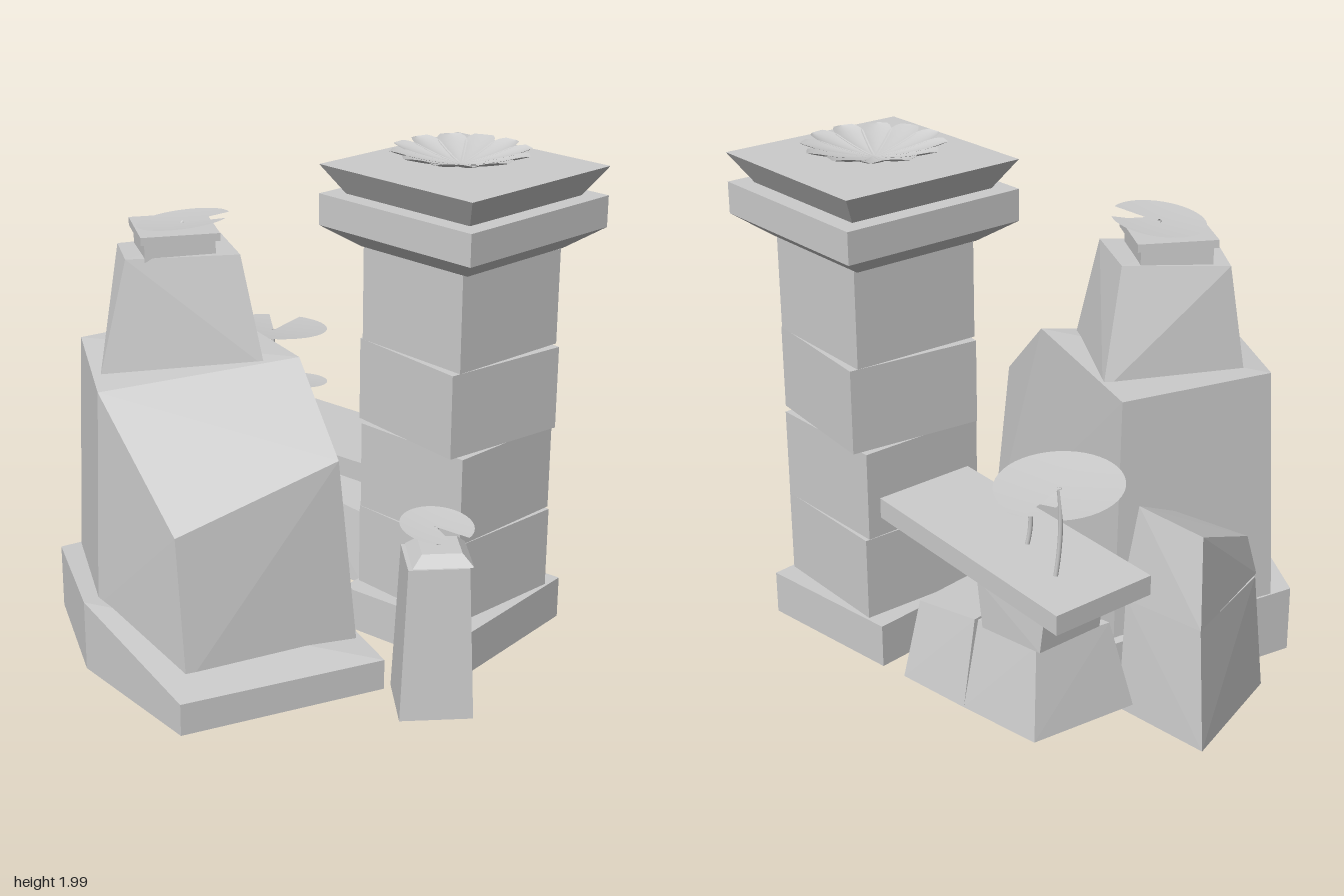
import * as THREE from 'three';
import { ConvexGeometry } from 'three/addons/geometries/ConvexGeometry.js';

const stone = new THREE.MeshStandardMaterial({ color: 0xcccccc, flatShading: true });
const leaf = new THREE.MeshStandardMaterial({ color: 0xcccccc, side: THREE.DoubleSide });

export function createModel() {
  const root = new THREE.Group();

  const add = (name, geo, mat = stone, parent = root) => {
    const m = new THREE.Mesh(geo, mat);
    m.name = name;
    parent.add(m);
    return m;
  };

  // Chiselled rock: convex hull of [x, y, z] corners
  const rock = (name, corners) =>
    add(name, new ConvexGeometry(corners.map((c) => new THREE.Vector3(...c))));

  // Square block from y0 to y1 with bottom and top side lengths, turned by deg
  const block = (name, x, z, y0, y1, s0, s1, deg, parent = root) => {
    const g = new THREE.CylinderGeometry(s1 * Math.SQRT1_2, s0 * Math.SQRT1_2, y1 - y0, 4);
    g.rotateY(Math.PI / 4);
    const m = add(name, g, stone, parent);
    m.position.set(x, (y0 + y1) / 2, z);
    m.rotation.y = THREE.MathUtils.degToRad(deg);
    return m;
  };

  // Square pillar of turned blocks with a flared capital
  const pillar = new THREE.Group();
  pillar.name = 'pillar';
  root.add(pillar);
  [
    ['pillarBase', 0.07, 0.24, 0.61, 0.61, -15],
    ['pillarBlock', 0.24, 0.565, 0.52, 0.52, -23],
    ['pillarBlock', 0.57, 0.915, 0.515, 0.515, -21],
    ['pillarBlock', 0.92, 1.245, 0.53, 0.53, -28],
    ['pillarBlock', 1.25, 1.62, 0.515, 0.515, -24],
    ['capitalFlare', 1.62, 1.7, 0.53, 0.75, -21.8],
    ['capitalBand', 1.7, 1.82, 0.75, 0.75, -21.8],
    ['capitalTop', 1.82, 1.93, 0.61, 0.75, -21.8],
  ].forEach(([n, y0, y1, s0, s1, deg]) => block(n, 0.497, -0.303, y0, y1, s0, s1, deg, pillar));

  // Lotus flower of twelve scooped petals
  const lotus = new THREE.Group();
  lotus.name = 'lotus';
  lotus.position.set(0.48, 1.932, -0.31);
  root.add(lotus);
  const petal = new THREE.PlaneGeometry(1, 1, 6, 14);
  const p = petal.attributes.position;
  for (let i = 0; i < p.count; i++) {
    const v = p.getX(i) * 2, u = p.getY(i) + 0.5;
    const round = u < 0.72 ? 1 : Math.sqrt(Math.max(0, 1 - ((u - 0.72) / 0.28) ** 2));
    const half = Math.min(0.006 + 0.07 * u, 0.056) * round;
    p.setXYZ(i, v * half, 0.052 * u ** 1.6 + 0.016 * v * v * round * u, 0.265 * u);
  }
  petal.computeVertexNormals();
  for (let i = 0; i < 12; i++) add('petal', petal, leaf, lotus).rotation.y = (i * Math.PI) / 6;

  // Plinth under the great rock
  rock('plinth', [
    [-1, 0.31, 0.19], [-0.63, 0.34, 0.63], [-0.04, 0.22, 0.97], [0.48, 0.21, 0.35], [-0.57, 0.3, -0.49],
    [-1, 0.05, 0.19], [-0.63, 0.06, 0.63], [-0.04, 0.095, 0.97], [0.48, 0.09, 0.35], [-0.57, 0.04, -0.49],
  ]);

  // Great rock with a sloping front shoulder
  rock('greatRock', [
    [-0.95, 0.28, 0.12], [-0.61, 0.3, 0.56], [-0.1, 0.2, 0.81], [0.33, 0.2, 0.26], [-0.56, 0.25, -0.44],
    [-0.9, 1.2, 0.13], [-0.58, 1.165, 0.55], [-0.15, 0.76, 0.78], [0.26, 0.94, 0.28], [0, 1.23, 0.06],
    [-0.55, 1.21, -0.38],
  ]);

  // Tapered crown stone and its stepped top
  rock('crownStone', [
    [-0.42, 1.18, -0.27], [-0.11, 1.2, 0.13], [-0.65, 1.17, 0.41], [-0.8, 1.18, 0.12],
    [-0.42, 1.61, -0.13], [-0.22, 1.61, 0.1], [-0.58, 1.605, 0.32], [-0.74, 1.59, 0.1],
  ]);
  block('crownStep', -0.495, 0.1, 1.59, 1.66, 0.265, 0.265, 38);
  block('crownLip', -0.495, 0.1, 1.66, 1.69, 0.295, 0.295, 38);

  // Side boulder in two stacked pieces
  rock('sideBoulderLower', [
    [-0.98, 0, -0.02], [-0.98, 0.03, -0.58], [-0.61, 0.05, -0.49], [-0.64, 0.05, -0.22],
    [-0.95, 0.47, -0.06], [-0.94, 0.49, -0.54], [-0.62, 0.5, -0.47], [-0.66, 0.49, -0.2],
  ]);
  rock('sideBoulderUpper', [
    [-0.95, 0.48, -0.05], [-0.95, 0.5, -0.56], [-0.61, 0.51, -0.49], [-0.65, 0.5, -0.19],
    [-0.92, 0.64, -0.08], [-0.92, 0.83, -0.5], [-0.66, 0.87, -0.46], [-0.69, 0.75, -0.22],
  ]);

  // Stone shelf running out from the pillar, with its supports
  rock('shelf', [
    [-0.6, 0.675, -0.97], [-0.76, 0.675, -0.57], [0.3, 0.73, -0.15], [0.46, 0.73, -0.53],
    [-0.6, 0.6, -0.97], [-0.76, 0.6, -0.57], [0.3, 0.65, -0.15], [0.46, 0.65, -0.53],
  ]);
  rock('shelfSupportInner', [
    [0.15, 0.1, -0.74], [-0.15, 0.1, -0.82], [-0.24, 0.1, -0.5], [0.07, 0.1, -0.4],
    [0.11, 0.4, -0.68], [-0.16, 0.43, -0.75], [-0.22, 0.43, -0.52], [0.05, 0.4, -0.44],
  ]);
  rock('shelfSupportOuter', [
    [-0.15, 0.1, -0.82], [-0.48, 0.1, -0.9], [-0.68, 0.1, -0.52], [-0.26, 0.1, -0.45],
    [-0.18, 0.44, -0.76], [-0.45, 0.44, -0.83], [-0.6, 0.44, -0.56], [-0.26, 0.44, -0.5],
  ]);
  rock('shelfSupportTop', [
    [-0.22, 0.44, -0.8], [-0.48, 0.44, -0.86], [-0.58, 0.44, -0.6], [-0.29, 0.44, -0.52],
    [-0.2, 0.63, -0.8], [-0.5, 0.61, -0.86], [-0.6, 0.61, -0.6], [-0.28, 0.63, -0.52],
  ]);

  // Small bollard with a chamfered top
  block('bollard', 0.66, 0.33, 0.07, 0.66, 0.27, 0.22, 29);
  block('bollardCap', 0.67, 0.315, 0.66, 0.7, 0.22, 0.145, 29);

  // Notched lily pad, shallow cone; notch angle is measured from +x toward +z
  const lilyPad = (x, y, z, r, notchDeg, tiltX, tiltZ, stem) => {
    const g = new THREE.Group();
    g.name = 'lilyPad';
    g.position.set(x, y, z);
    root.add(g);
    const gap = 0.6;
    const disc = new THREE.CircleGeometry(r, 40, gap / 2, Math.PI * 2 - gap);
    disc.rotateX(Math.PI / 2);
    disc.attributes.position.setY(0, -0.07 * r);
    disc.computeVertexNormals();
    disc.rotateY(-THREE.MathUtils.degToRad(notchDeg));
    add('pad', disc, leaf, g).rotation.set(tiltX, 0, tiltZ);
    if (stem) {
      const curve = new THREE.QuadraticBezierCurve3(
        new THREE.Vector3(0.015, -stem, 0), new THREE.Vector3(-0.01, -stem / 2, 0.015),
        new THREE.Vector3(0, -0.06 * r, 0));
      add('stem', new THREE.TubeGeometry(curve, 8, 0.009, 8), leaf, g);
    }
  };
  lilyPad(-0.45, 1.72, 0.11, 0.175, -20, 0, 0.13, 0.04);
  lilyPad(-0.49, 1.035, -0.74, 0.225, -103, -0.1, 0, 0.37);
  lilyPad(-0.3, 0.87, -0.6, 0.11, 200, -0.08, 0, 0.2);
  lilyPad(0.655, 0.772, 0.305, 0.135, 28, 0.06, -0.1, 0.08);

  return root;
}
